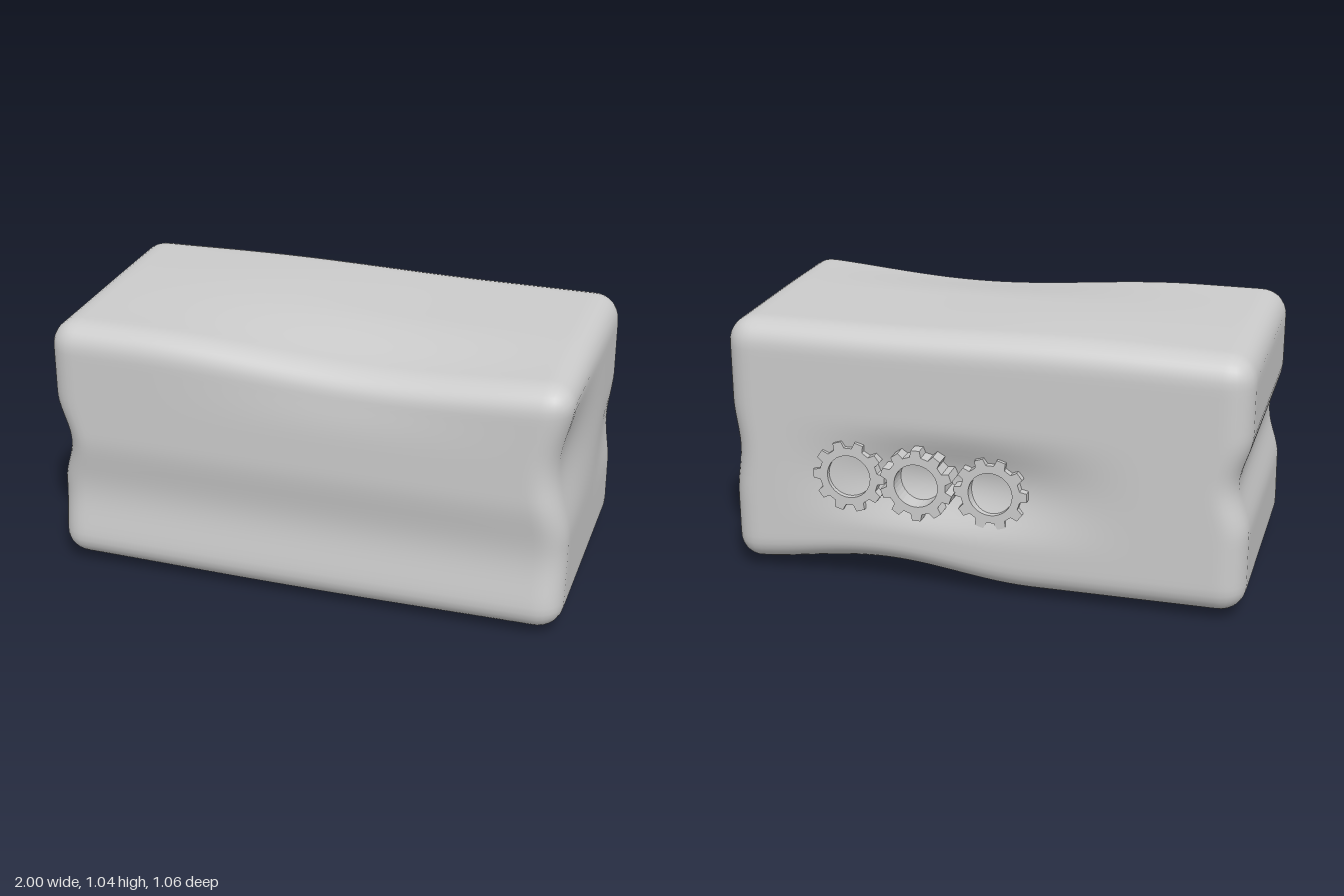
import * as THREE from 'three';
import { mergeVertices } from 'three/addons/utils/BufferGeometryUtils.js';

const material = new THREE.MeshStandardMaterial({ color: 0xcccccc });

// Local dents and swells: centre, reach along each axis, shift
const bumps = [
  { at: [-1, 0.53, 0], reach: [0.4, 0.2, 9], move: [0.045, 0, 0] },          // notch across the -x end
  { at: [1, 0.68, 0.53], reach: [0.4, 0.3, 0.7], move: [-0.05, 0, 0] },      // dent in the +x front edge
  { at: [1, 0.5, -0.5], reach: [0.3, 0.2, 0.5], move: [-0.02, 0, 0] },
  { at: [-0.33, 1.02, -0.17], reach: [0.8, 0.3, 0.6], move: [0, 0.02, 0] },  // crown on top
  { at: [0.25, 1.02, 0.53], reach: [0.9, 0.3, 0.5], move: [0, -0.05, 0] },   // sag of the top front edge
  { at: [0, 0.03, 0.16], reach: [1.1, 0.3, 0.5], move: [0, -0.03, 0] },      // belly underneath
  { at: [0.4, 0.03, -0.5], reach: [0.6, 0.3, 0.45], move: [0, 0.06, 0] },    // hollow of the lower back edge
  { at: [0, 0.33, 0.53], reach: [9, 0.25, 0.3], move: [0, 0, -0.028] },      // long dip along the front
  { at: [0.15, 1, 0.53], reach: [0.8, 0.3, 0.3], move: [0, 0, -0.02] },
  { at: [0.1, 0.44, -0.5], reach: [0.75, 0.24, 0.4], move: [0, 0, 0.065] },  // groove behind the gears
];

function falloff(distance, reach) {
  const t = Math.min(1, Math.abs(distance) / reach);
  return 0.5 * (1 + Math.cos(Math.PI * t));
}

// Rounded block with the bumps applied
function makeBlock() {
  const half = new THREE.Vector3(1, 0.495, 0.515);
  const radius = 0.1;
  const inner = half.clone().subScalar(radius);
  let geo = new THREE.BoxGeometry(2, 0.99, 1.03, 72, 36, 36);
  geo.deleteAttribute('uv');
  geo.deleteAttribute('normal');
  geo = mergeVertices(geo, 1e-4);
  const pos = geo.attributes.position;
  const p = new THREE.Vector3(), core = new THREE.Vector3(), shift = new THREE.Vector3();
  for (let i = 0; i < pos.count; i++) {
    p.fromBufferAttribute(pos, i);
    core.copy(p).clamp(inner.clone().negate(), inner);
    p.sub(core).setLength(radius).add(core);
    p.y += 0.525;
    p.z += 0.015;
    shift.set(0, 0, 0);
    for (const { at, reach, move } of bumps) {
      const w = falloff(p.x - at[0], reach[0]) * falloff(p.y - at[1], reach[1]) * falloff(p.z - at[2], reach[2]);
      shift.addScaledVector(new THREE.Vector3(...move), w);
    }
    p.add(shift);
    pos.setXYZ(i, p.x, p.y, p.z);
  }
  geo.computeVertexNormals();
  return geo;
}

// Ring gear with trapezoid teeth
function makeGear(depth) {
  const teeth = 10, root = 0.116, tip = 0.142, hole = 0.085;
  const shape = new THREE.Shape();
  const step = (Math.PI * 2) / teeth;
  const points = [];
  for (let i = 0; i < teeth; i++) {
    for (const [f, r] of [[-0.3, root], [-0.19, tip], [0.19, tip], [0.3, root]]) {
      const a = (i + f) * step;
      points.push(new THREE.Vector2(Math.cos(a) * r, Math.sin(a) * r));
    }
  }
  shape.setFromPoints(points);
  shape.closePath();
  shape.holes.push(new THREE.Path().absarc(0, 0, hole, 0, Math.PI * 2, true));
  return new THREE.ExtrudeGeometry(shape, { depth, bevelEnabled: false, curveSegments: 16 });
}

export function createModel() {
  const group = new THREE.Group();

  const block = new THREE.Mesh(makeBlock(), material);
  block.name = 'stoneBlock';
  group.add(block);

  // Row of three gears set into the back
  const gearGeo = makeGear(0.11);
  const gears = [
    ['leftGear', 0.51, 0.44, -0.502, 0],
    ['middleGear', 0.235, 0.4425, -0.53, Math.PI / 10],
    ['rightGear', -0.04, 0.42, -0.485, 0],
  ];
  for (const [name, x, y, z, turn] of gears) {
    const gear = new THREE.Mesh(gearGeo, material);
    gear.name = name;
    gear.position.set(x, y, z);
    gear.rotation.z = turn;
    group.add(gear);
  }
  return group;
}
